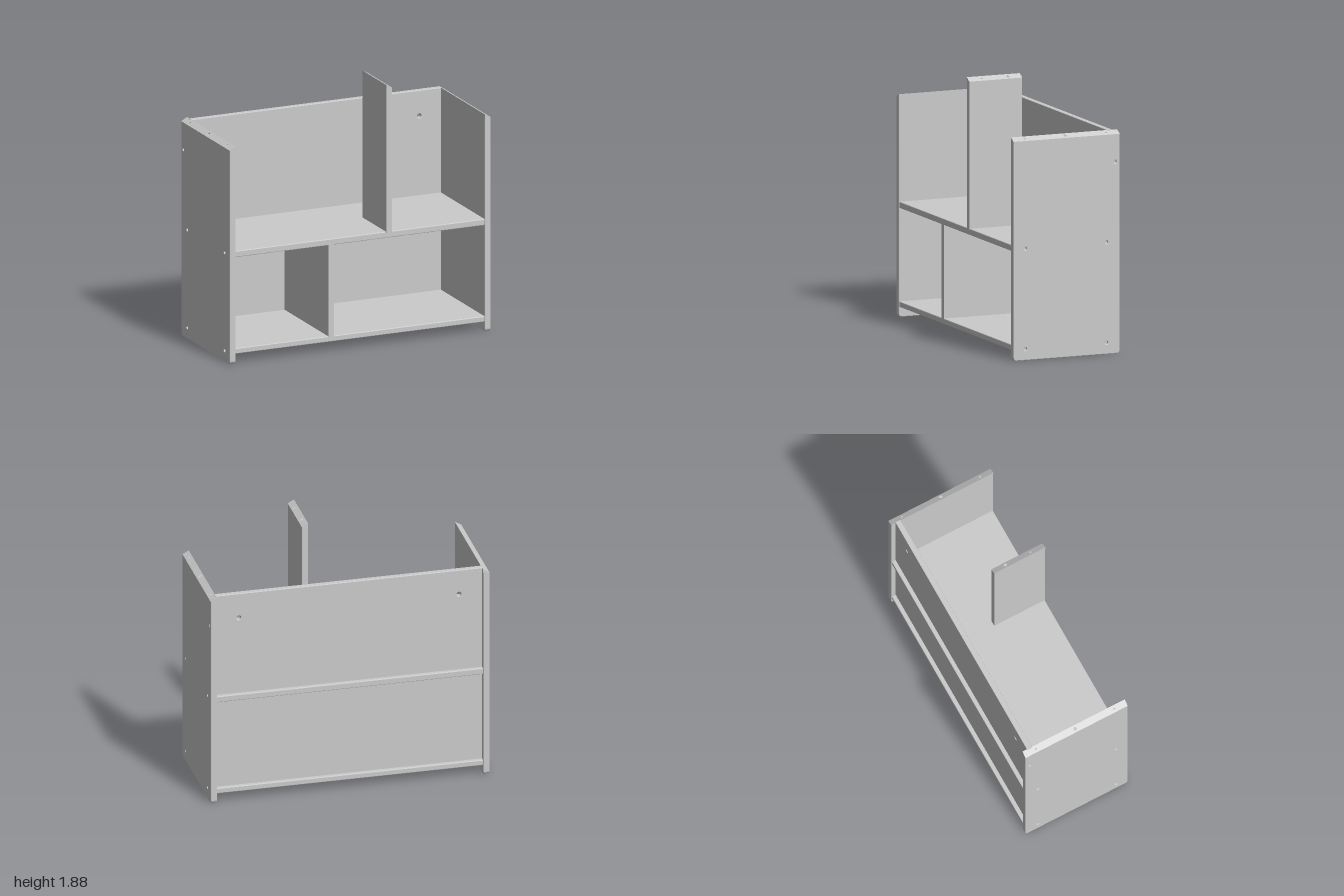
import * as THREE from 'three';

const material = new THREE.MeshStandardMaterial({ color: 0xcccccc, side: THREE.DoubleSide });
const T = 0.045;      // board thickness
const SLOPE = 0.025;  // rise of the slanted top edges

function mesh(name, geometry) {
  const m = new THREE.Mesh(geometry, material);
  m.name = name;
  return m;
}

// Rectangle with rounded lower corners and round holes given as [x, y, radius]
function outline(x0, x1, y0, y1, r, holes) {
  const s = new THREE.Shape();
  s.moveTo(x0 + r, y0);
  s.lineTo(x1 - r, y0);
  if (r) s.quadraticCurveTo(x1, y0, x1, y0 + r);
  s.lineTo(x1, y1);
  s.lineTo(x0, y1);
  s.lineTo(x0, y0 + r);
  if (r) s.quadraticCurveTo(x0, y0, x0 + r, y0);
  for (const [x, y, radius] of holes) {
    s.holes.push(new THREE.Path().absarc(x, y, radius, 0, Math.PI * 2, true));
  }
  return s;
}

// Board with softened edges and countersunk holes, lying in xy from z = 0 to depth
function board(x0, x1, y0, y1, depth, { r = 0, bevel = 0.005, holes = [] } = {}) {
  const b = bevel;
  const g = new THREE.ExtrudeGeometry(outline(x0 + b, x1 - b, y0 + b, y1 - b, r, holes), {
    depth: depth - 2 * b, bevelEnabled: true, bevelThickness: b, bevelSize: b,
    bevelSegments: 2, curveSegments: 8,
  });
  return g.translate(0, 0, b);
}

// Upright board with a slanted top: higher at x0, lower at x0 + T
function uprightBoard(name, x0, y0, top, z0, z1, r, sideHoles, topHoles) {
  const group = new THREE.Group();
  group.name = name;
  const low = top - SLOPE;

  const g = board(-z1, -z0, y0, low, T, { r, holes: sideHoles.map(([z, y]) => [-z, y, 0.016]) });
  g.rotateY(Math.PI / 2).translate(x0, 0, 0);
  const p = g.attributes.position;
  for (let i = 0; i < p.count; i++) if (p.getY(i) > low - 0.02) p.setY(i, low);
  g.computeVertexNormals();
  group.add(mesh('panel', g));

  // Slanted top face with dowel holes
  const face = new THREE.ShapeGeometry(outline(-z1, -z0, 0, 1, 0, []), 8);
  const L = Math.hypot(T, SLOPE);
  const slant = new THREE.ShapeGeometry(
    outline(-z1, -z0, 0, L, 0, topHoles.map(([z, radius]) => [-z, L / 2, radius])), 8);
  face.dispose();
  const q = slant.attributes.position;
  for (let i = 0; i < q.count; i++) {
    const t = q.getY(i) / L;
    q.setXYZ(i, x0 + T * (1 - t), low + SLOPE * t, -q.getX(i));
  }
  slant.computeVertexNormals();
  group.add(mesh('slantedTop', slant));

  // Inner face and the two triangular ends below the slant
  const a = [x0, low], b = [x0 + T, low], c = [x0, top];
  const corners = [
    [...a, z1], [...b, z1], [...c, z1],
    [...a, z0], [...c, z0], [...b, z0],
    [...a, z0], [...a, z1], [...c, z1],
    [...a, z0], [...c, z1], [...c, z0],
  ];
  const ends = new THREE.BufferGeometry();
  ends.setAttribute('position', new THREE.Float32BufferAttribute(corners.flat(), 3));
  ends.computeVertexNormals();
  group.add(mesh('topEnds', ends));

  // Screws close the side holes a little below the surface
  for (const [z, y] of sideHoles) {
    const len = T - 0.016;
    const screw = new THREE.CylinderGeometry(0.015, 0.015, len, 16).rotateZ(Math.PI / 2);
    group.add(mesh('screw', screw.translate(x0 + 0.001 + len / 2, y, z)));
  }
  return group;
}

export function createModel() {
  const model = new THREE.Group();

  // Side panels: the right one is the left one turned around
  const screws = [[0.315, 0.08], [-0.305, 0.08], [0.315, 0.79], [-0.305, 0.79], [-0.37, 1.355]];
  const dowels = [[-0.31, 0.008], [0, 0.013], [0.31, 0.008]];
  for (const s of [1, -1]) {
    const side = uprightBoard(s > 0 ? 'leftSide' : 'rightSide', 0.955, 0, 1.575, -0.405, 0.405, 0.02,
      screws.map(([z, y]) => [z * s, y]), dowels);
    if (s < 0) side.rotation.y = Math.PI;
    model.add(side);
  }

  // Shelves
  const shelf = (name, y, thickness, holes) => {
    const g = board(-0.96, 0.96, -0.4, 0.4, thickness, { holes });
    model.add(mesh(name, g.rotateX(-Math.PI / 2).translate(0, y, 0)));
  };
  shelf('bottomShelf', 0.07, 0.04, [[-0.22, 0.265, 0.016], [-0.22, -0.265, 0.016]]);
  shelf('middleShelf', 0.77, 0.045, []);

  // Back panels, the upper one with two hanging holes
  const upperBack = board(-0.96, 0.96, 0.8, 1.575, 0.04,
    { bevel: 0.004, holes: [[-0.79, 1.39, 0.02], [0.79, 1.39, 0.02]] });
  model.add(mesh('upperBack', upperBack.translate(0, 0, -0.37)));
  const lowerBack = board(-0.96, 0.96, 0.1, 0.78, 0.04, { bevel: 0.004 });
  model.add(mesh('lowerBack', lowerBack.translate(0, 0, -0.37)));

  // Dividers
  const lowerDivider = new THREE.BoxGeometry(0.043, 0.67, 0.735).translate(-0.22, 0.44, 0.0325);
  model.add(mesh('lowerDivider', lowerDivider));
  model.add(uprightBoard('upperDivider', 0.2, 0.805, 1.88, 0, 0.405, 0, [],
    [[0.1, 0.013], [0.3, 0.008]]));

  return model;
}
